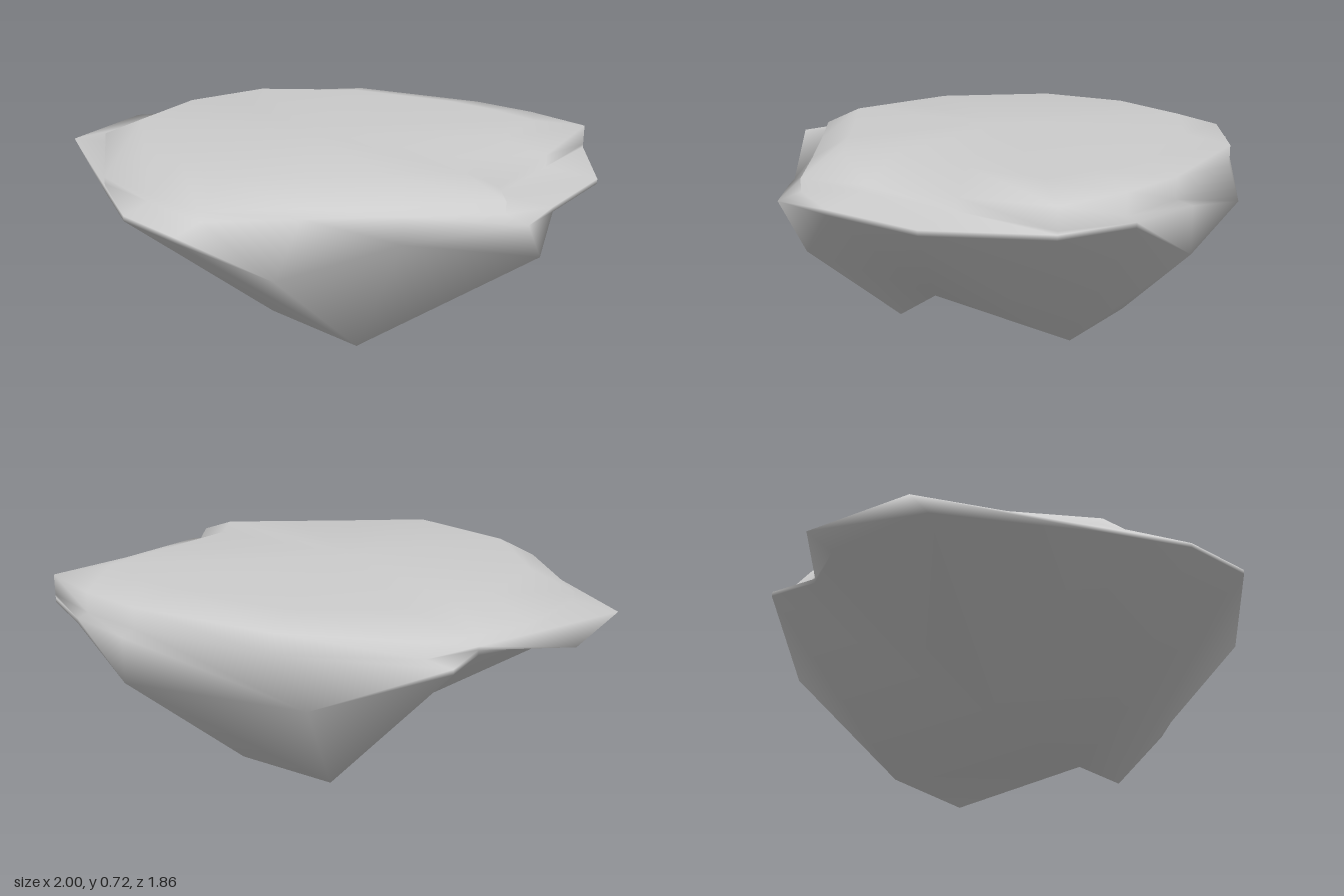
import * as THREE from 'three';
import { mergeVertices } from 'three/addons/utils/BufferGeometryUtils.js';

// Sixteen stations around the rock, clockwise from the back:
// rim x, z, y, skirt z, y, slab edge x, z, y, index of foot corner below
const STATIONS = [
  [0.29, -0.93, 0.603, -0.93, 0.44, 0.29, -0.87, 0.69, 3],
  [0.56, -0.87, 0.603, -0.87, 0.585, 0.55, -0.83, 0.69, 3],
  [0.81, -0.74, 0.603, -0.74, 0.585, 0.81, -0.74, 0.69, 3],
  [1.0, -0.37, 0.603, -0.37, 0.585, 0.8, -0.37, 0.66, 2],
  [0.98, 0.01, 0.603, 0.01, 0.585, 0.78, 0.01, 0.64, 2],
  [0.98, 0.22, 0.6, 0.1, 0.45, 0.89, 0.2, 0.66, 1],
  [0.66, 0.48, 0.55, 0.48, 0.55, 0.62, 0.4, 0.65, 1],
  [0.35, 0.76, 0.45, 0.76, 0.45, 0.35, 0.6, 0.65, 1],
  [0.09, 0.93, 0.603, 0.93, 0.585, 0.09, 0.8, 0.65, 0],
  [-0.18, 0.86, 0.603, 0.86, 0.585, -0.18, 0.73, 0.64, 0],
  [-0.44, 0.66, 0.603, 0.66, 0.585, -0.44, 0.66, 0.64, 5],
  [-0.97, 0.25, 0.603, 0.25, 0.585, -0.8, 0.25, 0.65, 5],
  [-1.0, -0.18, 0.603, -0.18, 0.585, -0.83, -0.18, 0.65, 5],
  [-0.75, -0.38, 0.603, -0.38, 0.585, -0.75, -0.38, 0.65, 5],
  [-0.77, -0.58, 0.603, -0.58, 0.585, -0.67, -0.58, 0.67, 4],
  [-0.38, -0.81, 0.45, -0.81, 0.45, -0.25, -0.82, 0.69, 4],
];

// Uneven corners of the underside
const FOOT = [
  [0.09, 0.15, 0.39], [0.35, 0.01, 0.23], [0.42, 0.15, 0.01],
  [0.2, 0, -0.43], [-0.2, 0, -0.43], [-0.23, 0.15, 0.03],
].map((p) => new THREE.Vector3(...p));

// Collects triangles, leaving out collapsed ones
function addTriangle(out, a, b, c) {
  const area = b.clone().sub(a).cross(c.clone().sub(a)).length();
  if (area > 1e-6) out.push(a, b, c);
}

// Joins each ring to the next one below it
function loft(out, rings) {
  for (let r = 0; r < rings.length - 1; r++) {
    const up = rings[r], low = rings[r + 1], n = up.length;
    for (let i = 0; i < n; i++) {
      const j = (i + 1) % n;
      addTriangle(out, up[i], up[j], low[i]);
      addTriangle(out, up[j], low[j], low[i]);
    }
  }
}

export function createModel() {
  const group = new THREE.Group();
  group.name = 'floatingRock';
  const ring = (place) => STATIONS.map((s) => new THREE.Vector3(...place(s)));
  const triangles = [];

  // Flat top
  const top = ring(([, , , , , x, z]) => [x * 0.81, 0.72, z * 0.81]);
  const centre = new THREE.Vector3(0, 0.72, 0);
  top.forEach((p, i) => addTriangle(triangles, centre, top[(i + 1) % top.length], p));

  // Bevelled slab edge, ledge, skirt and tapering underside
  const slabEdge = ring(([, , , , , x, z, y]) => [x, y, z]);
  const slabFoot = ring(([, , , , , x, z]) => [x, 0.615, z]);
  const rim = ring(([x, z, y]) => [x, y, z]);
  const skirt = ring(([x, , , z, y]) => [Math.max(x, -0.87), y, z]);
  const foot = STATIONS.map((s) => FOOT[s[8]]);
  loft(triangles, [top, slabEdge, slabFoot, rim, skirt, foot]);

  // Underside
  for (const [a, b, c] of [[2, 4, 3], [2, 5, 4], [2, 0, 5], [2, 1, 0]]) {
    addTriangle(triangles, FOOT[a], FOOT[b], FOOT[c]);
  }

  // Shared corners give soft shading over the whole rock
  const geometry = mergeVertices(new THREE.BufferGeometry().setFromPoints(triangles));
  geometry.computeVertexNormals();
  const rock = new THREE.Mesh(geometry, new THREE.MeshStandardMaterial({ color: 0xcccccc }));
  rock.name = 'rock';
  group.add(rock);
  return group;
}
